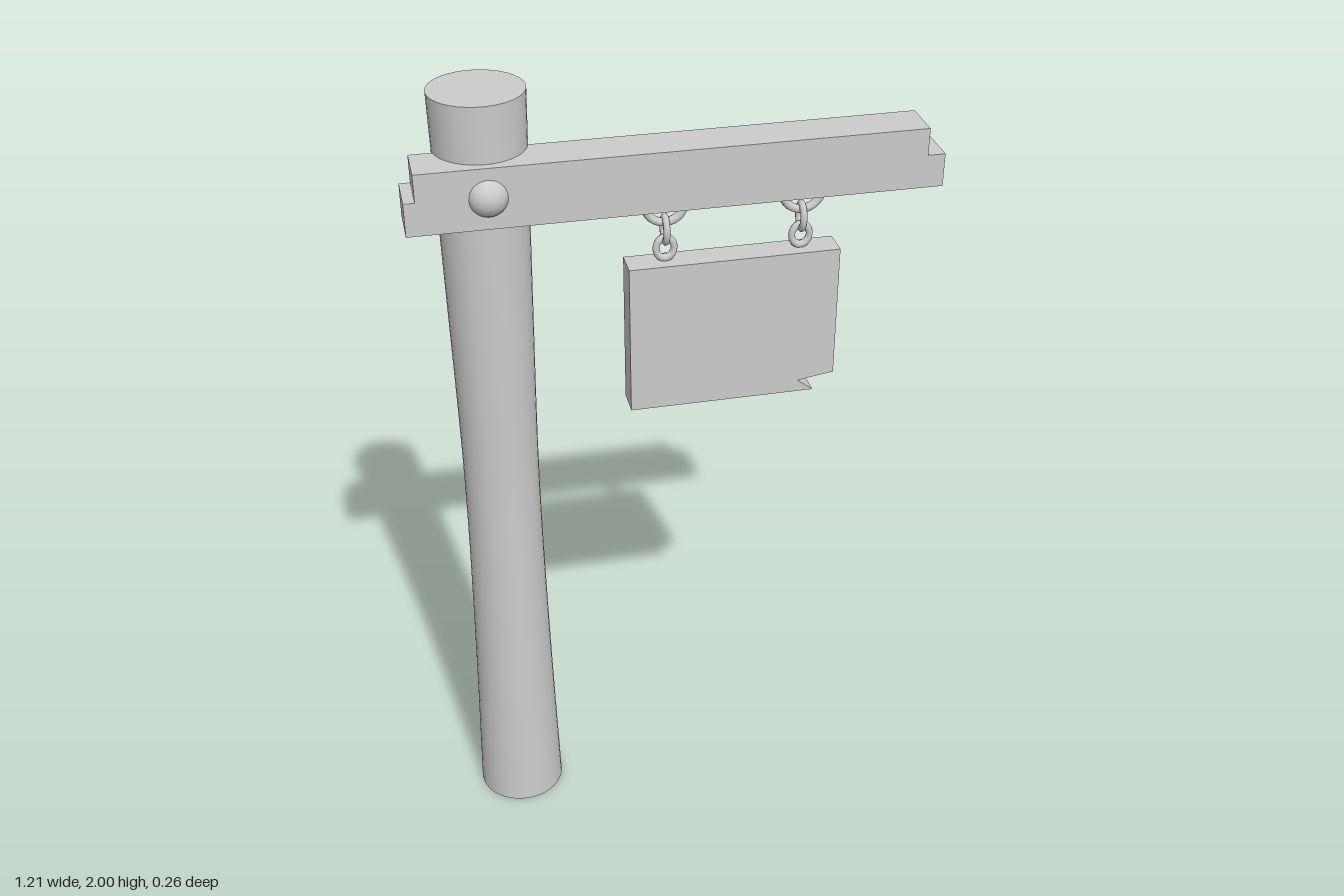
import * as THREE from 'three';

const material = new THREE.MeshStandardMaterial({ color: 0xcccccc });

function add(parent, name, geometry, x = 0, y = 0, z = 0) {
  const mesh = new THREE.Mesh(geometry, material);
  mesh.name = name;
  mesh.position.set(x, y, z);
  parent.add(mesh);
  return mesh;
}

// Flat outline in x and y, extruded along z
function slab(points, depth) {
  const shape = new THREE.Shape(points.map(([x, y]) => new THREE.Vector2(x, y)));
  return new THREE.ExtrudeGeometry(shape, { depth, bevelEnabled: false });
}

export function createModel() {
  const model = new THREE.Group();
  model.name = 'hangingSign';
  const postX = -0.425, postZ = -0.022;

  // Post with a gently waisted profile and flat ends
  const waist = new THREE.SplineCurve([
    [0.11, 0], [0.098, 0.5], [0.092, 1], [0.099, 1.5], [0.108, 2],
  ].map(([r, y]) => new THREE.Vector2(r, y))).getPoints(20);
  add(model, 'post', new THREE.LatheGeometry(waist, 40), postX, 0, postZ);
  const bottom = add(model, 'postBottom', new THREE.CircleGeometry(0.11, 40), postX, 0, postZ);
  bottom.rotation.x = Math.PI / 2;
  const top = add(model, 'postTop', new THREE.CircleGeometry(0.108, 40), postX, 2, postZ);
  top.rotation.x = -Math.PI / 2;

  // Crossbeam with stepped ends
  add(model, 'crossbeam', slab([
    [-0.607, 1.728], [0.604, 1.728], [0.604, 1.806], [0.563, 1.806],
    [0.563, 1.87], [-0.582, 1.87], [-0.582, 1.806], [-0.607, 1.806],
  ], 0.107), 0, 0, -0.003);

  // Domed bolt holding the beam to the post
  add(model, 'bolt', new THREE.SphereGeometry(0.047, 24, 16), postX, 1.8, 0.085);

  // Board with a splintered lower corner
  add(model, 'signBoard', slab([
    [-0.12, 1.217], [0.325, 1.217], [0.287, 1.247], [0.375, 1.26],
    [0.375, 1.587], [-0.12, 1.587],
  ], 0.07), 0, 0, 0.021);

  // Two chains: beam ring, crosswise link, board ring
  for (const x of [-0.03, 0.288]) {
    const chain = new THREE.Group();
    chain.name = 'chain';
    chain.position.set(x, 0, 0.056);
    model.add(chain);
    add(chain, 'beamRing', new THREE.TorusGeometry(0.046, 0.01, 10, 28), 0, 1.728);
    const link = add(chain, 'link', new THREE.TorusGeometry(0.021, 0.008, 10, 24), 0, 1.664);
    link.rotation.y = Math.PI / 2;
    link.scale.y = 1.35;
    add(chain, 'boardRing', new THREE.TorusGeometry(0.021, 0.008, 10, 24), 0, 1.618)
      .scale.y = 1.2;
  }
  return model;
}
